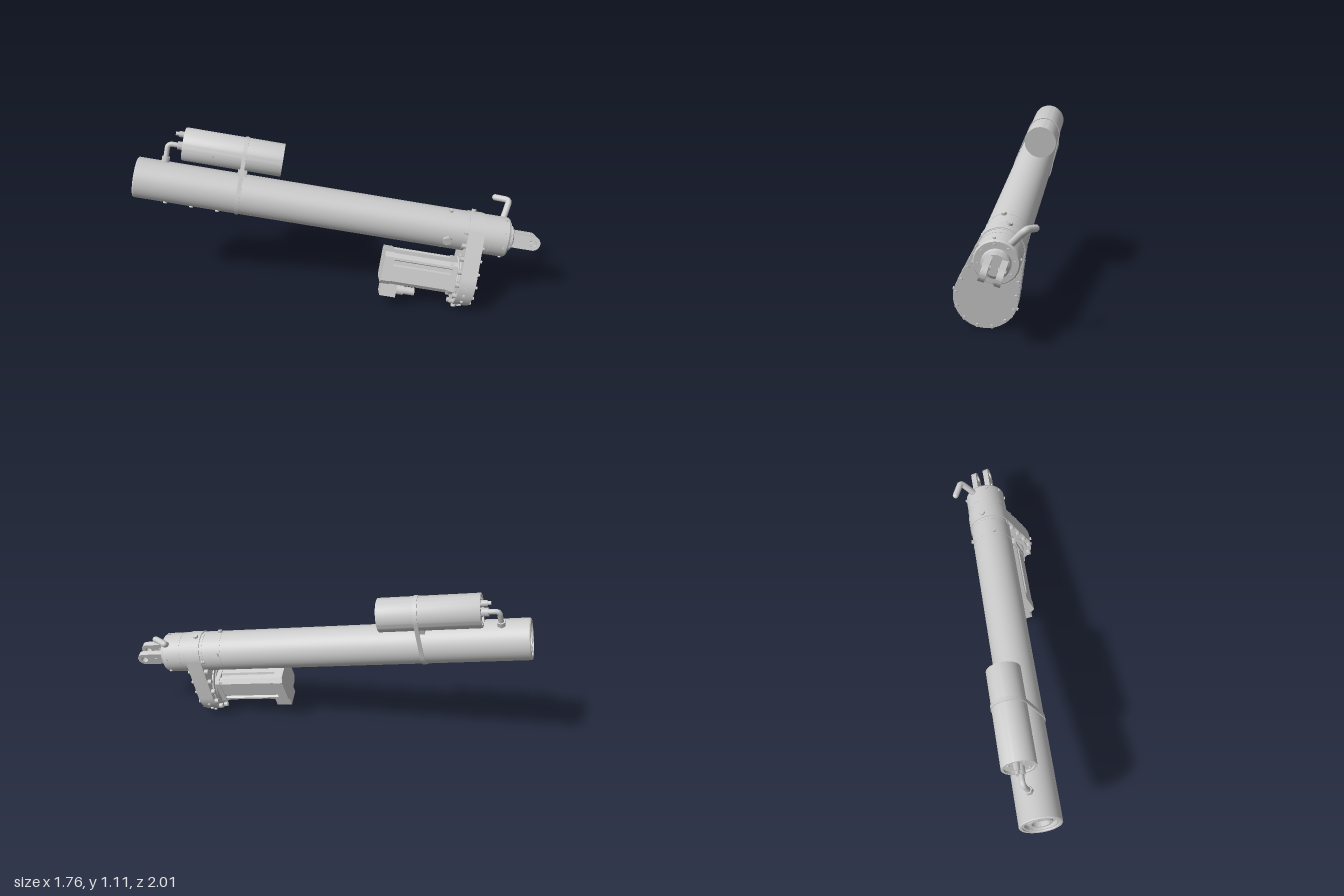
import * as THREE from 'three';
import { toCreasedNormals } from 'three/addons/utils/BufferGeometryUtils.js';

export function createModel() {
  const model = new THREE.Group();
  model.name = 'electricActuator';
  const mat = new THREE.MeshStandardMaterial({ color: 0xcccccc, side: THREE.DoubleSide });

  // Working frame: +x runs along the barrel to the clevis, -y points to the motor.
  const axis = new THREE.Vector3(1.495, -0.395, -1.735).normalize();
  const side = new THREE.Vector3().crossVectors(axis, new THREE.Vector3(0, 1, 0)).normalize();
  const up = new THREE.Vector3().crossVectors(side, axis);
  const body = new THREE.Group();
  body.name = 'actuatorBody';
  body.quaternion.setFromRotationMatrix(new THREE.Matrix4().makeBasis(axis, up, side));
  body.rotateX(-0.32);
  body.position.set(-0.785, 0.825, 0.91);
  model.add(body);

  const add = (name, geo, x = 0, y = 0, z = 0) => {
    const mesh = new THREE.Mesh(geo, mat);
    mesh.name = name;
    mesh.position.set(x, y, z);
    body.add(mesh);
    return mesh;
  };
  // Cylinder along x from x0 to x1
  const rod = (name, r, x0, x1, y = 0, z = 0, seg = 48) =>
    add(name, new THREE.CylinderGeometry(r, r, x1 - x0, seg).rotateZ(-Math.PI / 2), (x0 + x1) / 2, y, z);
  const box = (name, x0, x1, y0, y1, w, z = 0) =>
    add(name, new THREE.BoxGeometry(x1 - x0, y1 - y0, w), (x0 + x1) / 2, (y0 + y1) / 2, z);
  // Profile of [radius, x] points turned about the x axis
  const turned = (name, pts, x = 0, y = 0, z = 0) => {
    const g = new THREE.LatheGeometry(pts.map(p => new THREE.Vector2(...p)), 64).rotateZ(-Math.PI / 2);
    return add(name, toCreasedNormals(g, 0.5), x, y, z);
  };
  // Screw standing radially out of a barrel of radius r
  const radialScrew = (name, x, angle, r, size, height, seg = 6, cy = 0) => {
    const m = add(name, new THREE.CylinderGeometry(size, size, height, seg),
      x, cy + r * Math.cos(angle), r * Math.sin(angle));
    m.rotation.x = angle;
  };
  // Outline wrapped around two circles on the y axis
  const wrap = (y0, r0, y1, r1, Path = THREE.Shape) => {
    const a = Math.asin((r1 - r0) / (y0 - y1));
    const s = new Path();
    s.absarc(0, y0, r0, a, Math.PI - a, false);
    s.absarc(0, y1, r1, Math.PI - a, 2 * Math.PI + a, false);
    s.closePath();
    return s;
  };
  const slab = (name, shape, x0, x1) => add(name, toCreasedNormals(new THREE.ExtrudeGeometry(shape,
    { depth: x1 - x0, bevelEnabled: false, curveSegments: 32 }).rotateY(Math.PI / 2), 0.5), x0);
  const pipe = (name, pts, r) => add(name, new THREE.TubeGeometry(
    new THREE.CatmullRomCurve3(pts.map(p => new THREE.Vector3(...p)), false, 'catmullrom', 0.2), 32, r, 14));

  // Barrel with stepped front opening, and the rear nose
  turned('mainBarrel', [[0, 0.04], [0.05, 0.04], [0.052, 0.012], [0.068, 0.012], [0.07, 0.03],
    [0.092, 0.03], [0.094, 0.008], [0.104, 0.008], [0.106, 0], [0.12, 0], [0.125, 0.006],
    [0.125, 2.06], [0, 2.06]]);
  turned('rearNose', [[0, 2.05], [0.125, 2.05], [0.125, 2.312], [0.118, 2.324], [0.08, 2.324],
    [0.078, 2.35], [0.06, 2.36], [0, 2.36]]);
  for (const x of [1.92, 2.04, 2.2]) rod('jointRing', 0.1262, x, x + 0.008);
  for (let i = 0; i < 8; i++) {
    const t = (i + 0.5) * Math.PI / 4;
    radialScrew('noseScrew', 2.295, t, 0.126, 0.009, 0.014, 8);
    rod('endScrew', 0.009, 2.32, 2.332, 0.1 * Math.cos(t), 0.1 * Math.sin(t), 8);
  }
  for (const t of [2.01, -1.0, 0.4]) radialScrew('hexPlug', 1.94, t, 0.128, t > 1 ? 0.03 : 0.014, 0.024);
  for (const x of [0.2, 0.36, 0.52]) radialScrew('lowerScrew', x, Math.PI - 0.32, 0.126, 0.012, 0.014, 10);

  // Rear clevis: two rounded prongs with eyes, and a cross pin
  for (const z of [-0.042, 0.042]) {
    const s = new THREE.Shape();
    s.moveTo(2.35, -0.045);
    s.lineTo(2.485, -0.045);
    s.absarc(2.485, 0, 0.045, -Math.PI / 2, Math.PI / 2, false);
    s.lineTo(2.35, 0.045);
    s.closePath();
    const eye = new THREE.Path();
    eye.absarc(2.485, 0, 0.022, 0, Math.PI * 2, true);
    s.holes.push(eye);
    add('clevisProng', toCreasedNormals(new THREE.ExtrudeGeometry(s,
      { depth: 0.034, bevelEnabled: false, curveSegments: 20 }), 0.5), 0, 0, z - 0.017);
    const pin = add('clevisBolt', new THREE.CylinderGeometry(0.012, 0.012, 0.046, 10), 2.4, 0, z);
    pin.rotation.x = Math.PI / 2;
  }

  // Bent release lever on the nose
  pipe('releaseLever', [[2.29, 0.11, -0.04], [2.312, 0.2, -0.08], [2.31, 0.217, -0.092],
    [2.295, 0.22, -0.1], [2.235, 0.216, -0.136]], 0.02);
  add('leverTip', new THREE.SphereGeometry(0.02, 14, 10), 2.235, 0.216, -0.136);

  // Gear housing joining barrel and motor
  slab('gearHousing', wrap(0, 0.13, -0.295, 0.18), 2.06, 2.15);
  slab('gearCover', wrap(0, 0.127, -0.295, 0.176), 2.15, 2.162);
  wrap(0, 0.115, -0.295, 0.165).getSpacedPoints(18).slice(0, 18).forEach(p => {
    if (p.y > -0.1 && Math.abs(p.x) < 0.11) return;
    rod('coverBolt', 0.01, 2.155, 2.174, p.y, -p.x, 8);
    rod('housingBolt', 0.016, 2.035, 2.065, p.y, -p.x, 6);
  });
  for (let i = 0; i < 10; i++) {
    const t = Math.PI / 2 + 0.15 + i * (Math.PI - 0.3) / 9;
    radialScrew('rimScrew', 2.105, t, 0.18, 0.01, 0.02, 8, -0.295);
  }
  radialScrew('topScrew', 2.09, 0, 0.132, 0.016, 0.022);
  radialScrew('drainPlug', 2.08, Math.PI - 0.1, 0.183, 0.018, 0.03, 6, -0.295);
  turned('motorAdapter', [[0, 0], [0.12, 0], [0.125, 0.006], [0.148, 0.006], [0.15, 0.025]], 2.045, -0.295);

  // Motor: chamfered square body with end plates and side grooves
  const square = (h, c, groove = 0) => {
    const s = new THREE.Shape();
    for (let k = 0; k < 4; k++) {
      const pts = [[h, -h + c]];
      if (groove) pts.push([h, -h * 0.62], [h - groove, -h * 0.55], [h - groove, -h * 0.3], [h, -h * 0.23]);
      pts.push([h, h - c]);
      pts.forEach(([x, y], i) => {
        const a = k * Math.PI / 2, px = x * Math.cos(a) - y * Math.sin(a), py = x * Math.sin(a) + y * Math.cos(a);
        if (k + i) s.lineTo(px, py - 0.295); else s.moveTo(px, py - 0.295);
      });
    }
    s.closePath();
    return s;
  };
  slab('motorBody', square(0.1, 0.024, 0.014), 1.64, 2.02);
  slab('motorRearCap', square(0.104, 0.026), 1.585, 1.645);
  slab('motorFlange', square(0.104, 0.022), 2.015, 2.047);
  for (const y of [-1, 1]) for (const z of [-1, 1])
    rod('motorBolt', 0.013, 2.0, 2.02, -0.295 + y * 0.083, z * 0.083, 6);

  // Motor cable outlet
  box('connectorBox', 1.6, 1.7, -0.485, -0.39, 0.115);
  rod('connectorNut', 0.032, 1.7, 1.75, -0.445, 0, 20);
  rod('connectorPlug', 0.025, 1.75, 1.82, -0.445, 0, 20);

  // Accumulator bottle with recessed front cap
  turned('accumulator', [[0, 0.012], [0.085, 0.012], [0.087, 0], [0.1, 0], [0.102, 0.004],
    [0.102, 0.608], [0, 0.608]], 0.262, 0.25);
  for (let i = 0; i < 4; i++) {
    const t = Math.PI / 4 + i * Math.PI / 2;
    rod('capScrew', 0.008, 0.262, 0.278, 0.25 + 0.068 * Math.cos(t), 0.068 * Math.sin(t), 8);
  }
  rod('fillValve', 0.02, 0.225, 0.28, 0.305, 0, 6);
  rod('fillValveTip', 0.012, 0.205, 0.23, 0.305, 0, 12);
  rod('portNut', 0.027, 0.225, 0.28, 0.235, 0, 6);
  pipe('linkPipe', [[0.26, 0.235, 0], [0.19, 0.235, 0], [0.172, 0.228, 0], [0.165, 0.21, 0], [0.165, 0.11, 0]], 0.016);
  radialScrew('pipeNut', 0.165, 0, 0.138, 0.026, 0.032);
  radialScrew('bottleScrew', 0.45, 1.9, 0.103, 0.008, 0.01, 8, 0.25);

  // Strap clamping the bottle to the barrel, with its saddle
  const strap = wrap(0.25, 0.107, 0, 0.13);
  strap.holes.push(wrap(0.25, 0.1015, 0, 0.1245, THREE.Path));
  slab('strap', strap, 0.625, 0.65);
  box('saddle', 0.61, 0.665, 0.11, 0.16, 0.09);

  return model;
}
